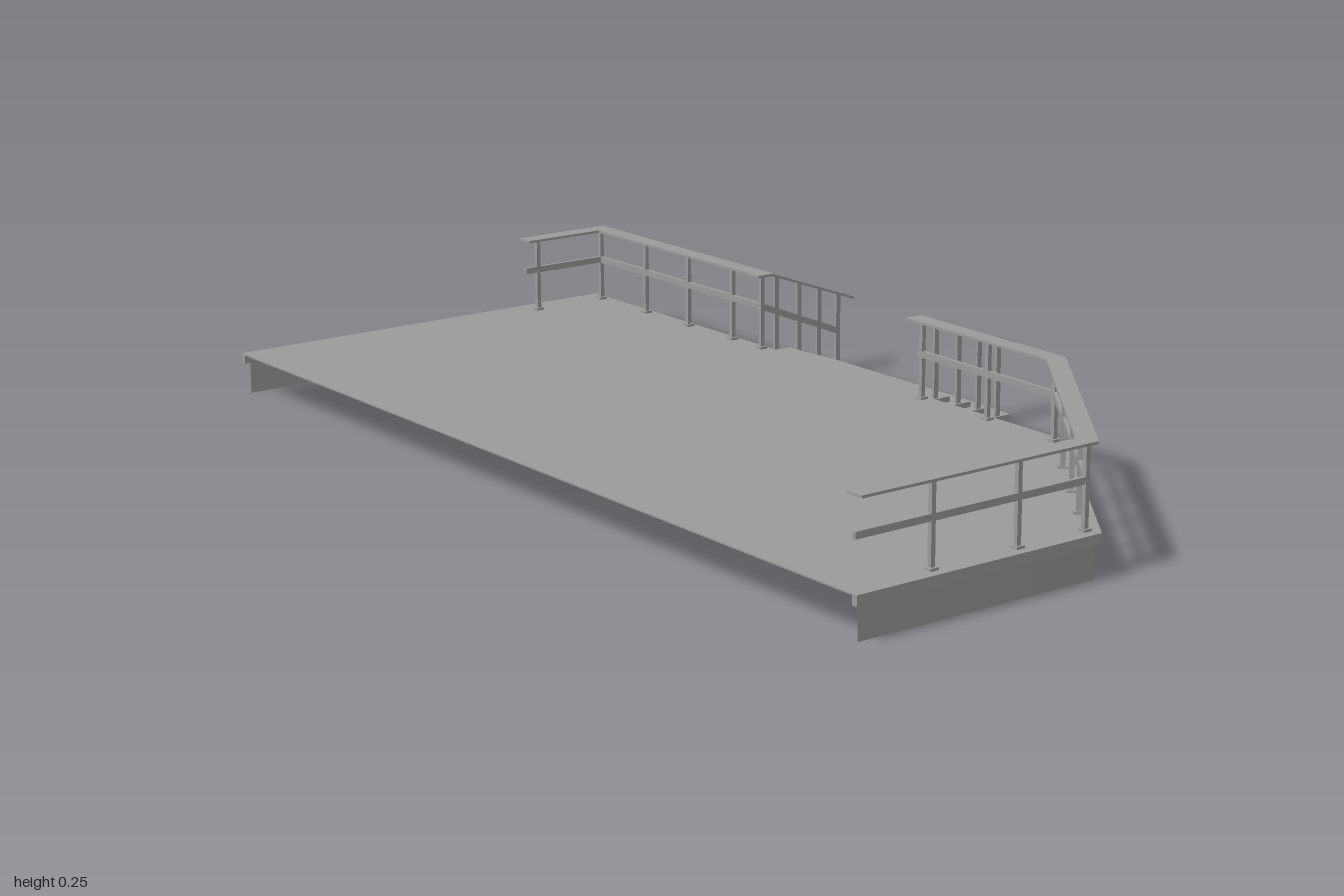
import * as THREE from 'three';

const mat = new THREE.MeshStandardMaterial({ color: 0x9b9b9b, side: THREE.DoubleSide });

// Shift an open [x, z] path sideways with mitred corners; positive d is toward the deck's inside
function offset(path, d) {
  const normals = path.slice(1).map(([x, z], i) => {
    const dx = x - path[i][0], dz = z - path[i][1], l = Math.hypot(dx, dz);
    return [dz / l, -dx / l];
  });
  return path.map(([x, z], i) => {
    const a = normals[Math.max(i - 1, 0)], b = normals[Math.min(i, normals.length - 1)];
    const k = d / (1 + a[0] * b[0] + a[1] * b[1]);
    return [x + (a[0] + b[0]) * k, z + (a[1] + b[1]) * k];
  });
}

export function createModel() {
  const model = new THREE.Group();

  const add = (name, geometry, parent = model) => {
    const mesh = new THREE.Mesh(geometry, mat);
    mesh.name = name;
    parent.add(mesh);
    return mesh;
  };
  const group = (name) => {
    const g = new THREE.Group();
    g.name = name;
    model.add(g);
    return g;
  };
  // Horizontal slab from a plan outline
  const slab = (name, outline, y, h, parent) => {
    const shape = new THREE.Shape(outline.map(([x, z]) => new THREE.Vector2(x, -z)));
    const geo = new THREE.ExtrudeGeometry(shape, { depth: h, bevelEnabled: false });
    return add(name, geo.rotateX(-Math.PI / 2).translate(0, y, 0), parent);
  };
  // Board of constant width following a path
  const ribbon = (name, path, w, y, h, parent) =>
    slab(name, [...offset(path, -w / 2), ...offset(path, w / 2).reverse()], y, h, parent);
  // Thin upright sheet following a path, shaded smoothly around its bends
  const curtain = (name, path, top) => {
    const geo = new THREE.PlaneGeometry(1, 1, path.length - 1, 1);
    const pos = geo.attributes.position;
    for (let i = 0; i < pos.count; i++) {
      const [x, z] = path[i % path.length];
      pos.setXYZ(i, x, i < path.length ? top : 0, z);
    }
    geo.computeVertexNormals();
    add(name, geo);
  };
  const box = (name, w, h, d, x, y, z, parent) => {
    const mesh = add(name, new THREE.BoxGeometry(w, h, d), parent);
    mesh.position.set(x, y, z);
    return mesh;
  };

  // Deck: top sheet, edge board and skirt, open along the back wall side
  const edge = [[-0.56, 1], [-0.02, 1], [0.333, 0.54], [0.34, -1], [-0.56, -1]];
  slab('deckTop', edge, 0.082, 0.003);
  ribbon('deckEdgeBoard', offset(edge, 0.006), 0.012, 0.065, 0.02);
  const skirtPath = offset(edge, 0.012);
  skirtPath[0][0] = skirtPath[4][0] = -0.548;
  curtain('skirt', skirtPath.slice(0, 4), 0.083);
  curtain('backSkirt', skirtPath.slice(3), 0.083);

  // Level railings with posts on small foot plates
  const levelRailing = (name, path, posts) => {
    const g = group(name);
    ribbon('handrail', path, 0.038, 0.241, 0.005, g);
    ribbon('midRail', path, 0.008, 0.169, 0.013, g);
    for (const [x, z, angle = 0] of posts) {
      const post = box('post', 0.009, 0.157, 0.009, x, 0.1635, z, g);
      const foot = box('postFoot', 0.018, 0.005, 0.018, x, 0.0875, z, g);
      post.rotation.y = foot.rotation.y = angle;
    }
  };
  levelRailing('frontRailing',
    [[-0.545, 0.973], [-0.035, 0.973], [0.31, 0.53], [0.317, 0.14]],
    [[-0.38, 0.973], [-0.19, 0.973], [-0.035, 0.973], [0.027, 0.893, 0.91], [0.108, 0.79, 0.91],
      [0.2, 0.671, 0.91], [0.31, 0.53], [0.314, 0.34], [0.317, 0.145]]);
  levelRailing('backRailing',
    [[0.32, -0.37], [0.32, -0.95], [0.117, -0.95]],
    [[0.32, -0.37], [0.32, -0.47], [0.32, -0.625], [0.32, -0.78], [0.32, -0.95], [0.15, -0.95]]);

  // Stairs: four open treads on two stringers
  const stairs = group('stairs');
  const treadTops = [0.077, 0.057, 0.037, 0.013];
  const zMid = -0.112;
  treadTops.forEach((y, i) => box('tread', 0.062, 0.011, 0.51, 0.362 + i * 0.0547, y - 0.0055, zMid, stairs));
  const profile = new THREE.Shape([[0.332, 0.068], [0.35, 0.068], [0.52, 0.004], [0.495, 0.004], [0.332, 0.052]]
    .map(([x, y]) => new THREE.Vector2(x, y)));
  for (const z of [0.12, -0.35]) {
    const geo = new THREE.ExtrudeGeometry(profile, { depth: 0.008, bevelEnabled: false });
    add('stringer', geo, stairs).position.z = z;
  }

  // Sloping stair railings on both sides
  const beam = (name, x0, y0, x1, y1, h, d, z, parent) => {
    const mesh = box(name, Math.hypot(x1 - x0, y1 - y0), h, d, (x0 + x1) / 2, (y0 + y1) / 2, z, parent);
    mesh.rotation.z = Math.atan2(y1 - y0, x1 - x0);
  };
  const railY = (x) => 0.243 - (x - 0.335) * 0.362;
  for (const [name, z] of [['leftStairRailing', 0.136], ['rightStairRailing', -0.371]]) {
    const g = group(name);
    box('handrailLanding', 0.04, 0.005, 0.038, 0.318, 0.2435, z, g);
    beam('handrail', 0.335, 0.243, 0.555, railY(0.555), 0.005, 0.038, z, g);
    beam('midRail', 0.317, 0.176, 0.527, 0.092, 0.013, 0.006, z, g);
    [0.36, 0.42, 0.474, 0.526].forEach((x, i) => {
      const y = treadTops[i], h = railY(x) - y;
      box('post', 0.011, h, 0.006, x, y + h / 2, z, g);
    });
  }
  return model;
}
